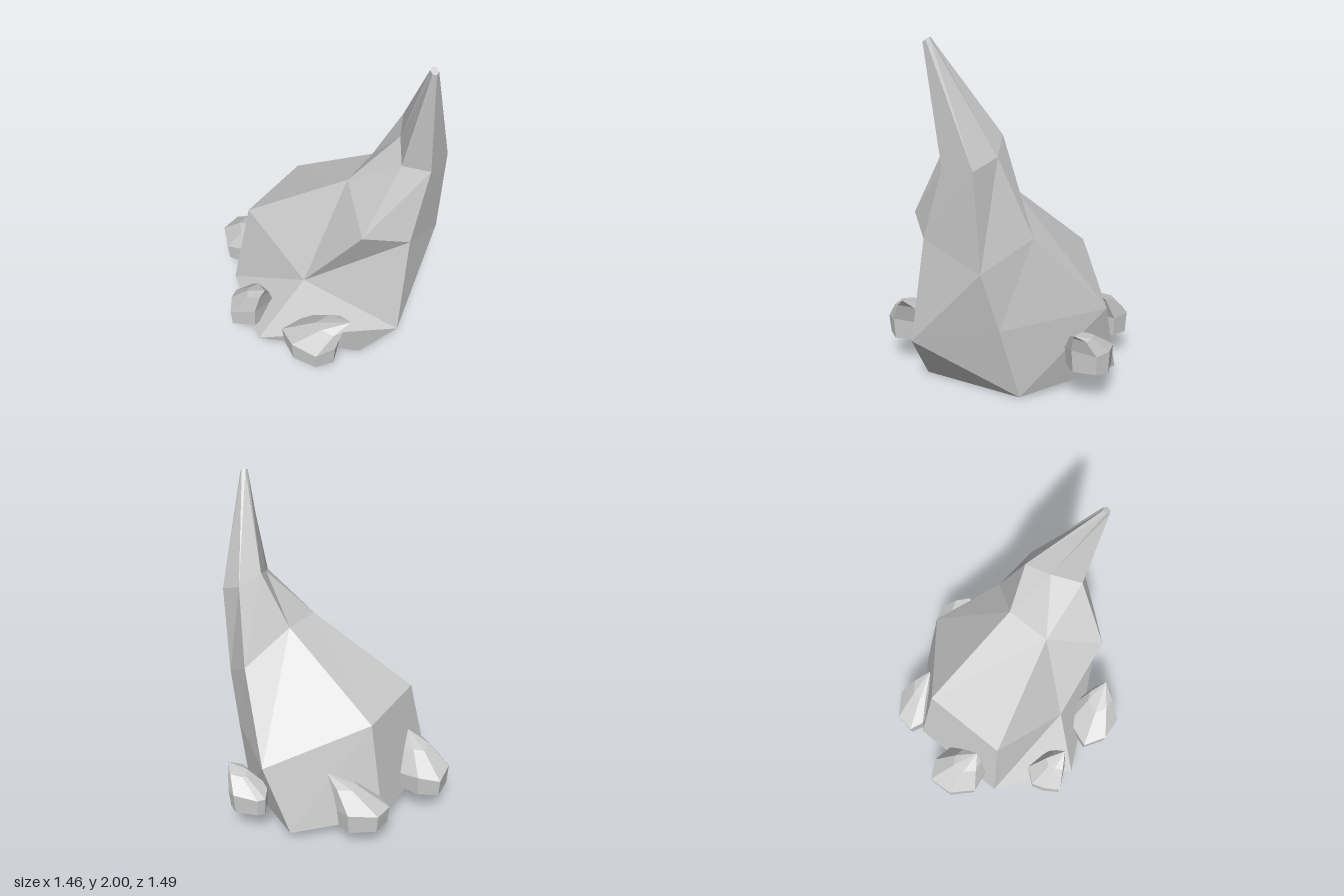
import * as THREE from 'three';

const material = new THREE.MeshStandardMaterial({ color: 0xcccccc, flatShading: true });

// Closed faceted solid from stacked rings; rings run counterclockwise seen from above.
// flip(band, side) picks the other diagonal for a quad.
function loft(name, rings, bottom, top, flip = () => false) {
  const pos = [];
  const tri = (...corners) => corners.forEach((c) => pos.push(...c));
  const n = rings[0].length;
  for (let i = 0; i < n; i++) {
    const j = (i + 1) % n;
    for (let k = 0; k < rings.length - 1; k++) {
      const a = rings[k][i], b = rings[k][j], c = rings[k + 1][j], d = rings[k + 1][i];
      if (flip(k, i)) { tri(a, b, d); tri(b, c, d); }
      else { tri(a, b, c); tri(a, c, d); }
    }
    tri(rings[0][j], rings[0][i], bottom);
    const last = rings[rings.length - 1];
    tri(last[i], last[j], top);
  }
  const geometry = new THREE.BufferGeometry();
  geometry.setAttribute('position', new THREE.Float32BufferAttribute(pos, 3));
  geometry.computeVertexNormals();
  const mesh = new THREE.Mesh(geometry, material);
  mesh.name = name;
  return mesh;
}

// Leaning horn: six-sided rings from the foot to the tip
function makeHorn() {
  const tip = [];
  for (let i = 0; i < 6; i++) {
    const a = Math.PI - 0.5 - i * Math.PI / 3;
    const x = Math.cos(a) * 0.022, z = Math.sin(a) * 0.022;
    tip.push([0.708 + x, 1.988 - x * 0.4 - z * 0.4, 0.13 + z]);
  }
  const rings = [
    [[-0.49, 0.13, 0.36], [-0.05, 0.11, 0.69], [0.48, 0, 0.36],
      [0.48, 0, -0.29], [-0.05, 0.07, -0.63], [-0.49, 0.13, -0.29]],
    [[-0.38, 0.72, 0.30], [0.12, 0.49, 0.43], [0.70, 0.29, 0.30],
      [0.59, 0.42, -0.23], [0.12, 0.49, -0.65], [-0.38, 0.72, -0.24]],
    [[0.25, 1.14, 0.16], [0.50, 1.00, 0.41], [0.69, 0.91, 0.20],
      [0.68, 0.76, -0.17], [0.43, 0.93, -0.35], [0.25, 1.15, -0.12]],
    [[0.48, 1.43, -0.01], [0.58, 1.37, 0.15], [0.71, 1.32, 0.05],
      [0.71, 1.32, -0.15], [0.55, 1.38, -0.20], [0.42, 1.48, -0.15]],
    tip,
  ];
  const flipped = ['0,2', '1,0'];
  return loft('horn', rings, [0, 0.07, 0.03], [0.708, 1.988, 0.13],
    (k, i) => flipped.includes(`${k},${i}`));
}

// Small stone: a footprint that narrows towards an overhanging peak
function makeStone({ y, peak, outline }) {
  const cx = outline.reduce((s, p) => s + p[0], 0) / outline.length;
  const cz = outline.reduce((s, p) => s + p[1], 0) / outline.length;
  const foot = outline.map(([x, z]) => [cx + (x - cx) * 0.93, y, cz + (z - cz) * 0.93]);
  const waist = outline.map(([x, z], i) => [x, y + 0.11 + 0.02 * (i % 2), z]);
  const shoulder = waist.map((p) => p.map((v, k) =>
    v + (peak[k] - v) * 0.5 + (k === 1 ? 0.03 : 0)));
  return loft('stone', [foot, waist, shoulder], [cx, y, cz], peak);
}

const stones = [
  { y: 0.175, peak: [-0.43, 0.48, 0.17],
    outline: [[-0.73, 0.01], [-0.72, 0.17], [-0.60, 0.285], [-0.46, 0.26], [-0.48, -0.03], [-0.61, -0.05]] },
  { y: 0.15, peak: [-0.05, 0.45, 0.60],
    outline: [[-0.32, 0.55], [-0.295, 0.63], [-0.235, 0.72], [-0.10, 0.65], [-0.08, 0.49], [-0.25, 0.46]] },
  { y: 0.155, peak: [0.51, 0.435, 0.52],
    outline: [[0.11, 0.66], [0.24, 0.74], [0.40, 0.725], [0.47, 0.63], [0.40, 0.44], [0.30, 0.43], [0.18, 0.48]] },
  { y: 0.175, peak: [0.41, 0.41, -0.60],
    outline: [[0.10, -0.66], [0.15, -0.56], [0.30, -0.48], [0.37, -0.56], [0.34, -0.70], [0.27, -0.745], [0.13, -0.70]] },
  { y: 0.15, peak: [-0.195, 0.45, -0.445],
    outline: [[-0.555, -0.33], [-0.47, -0.29], [-0.32, -0.31], [-0.29, -0.40], [-0.30, -0.51], [-0.395, -0.55], [-0.54, -0.45]] },
];

export function createModel() {
  const model = new THREE.Group();
  model.name = 'hornRock';
  model.add(makeHorn(), ...stones.map(makeStone));
  return model;
}
